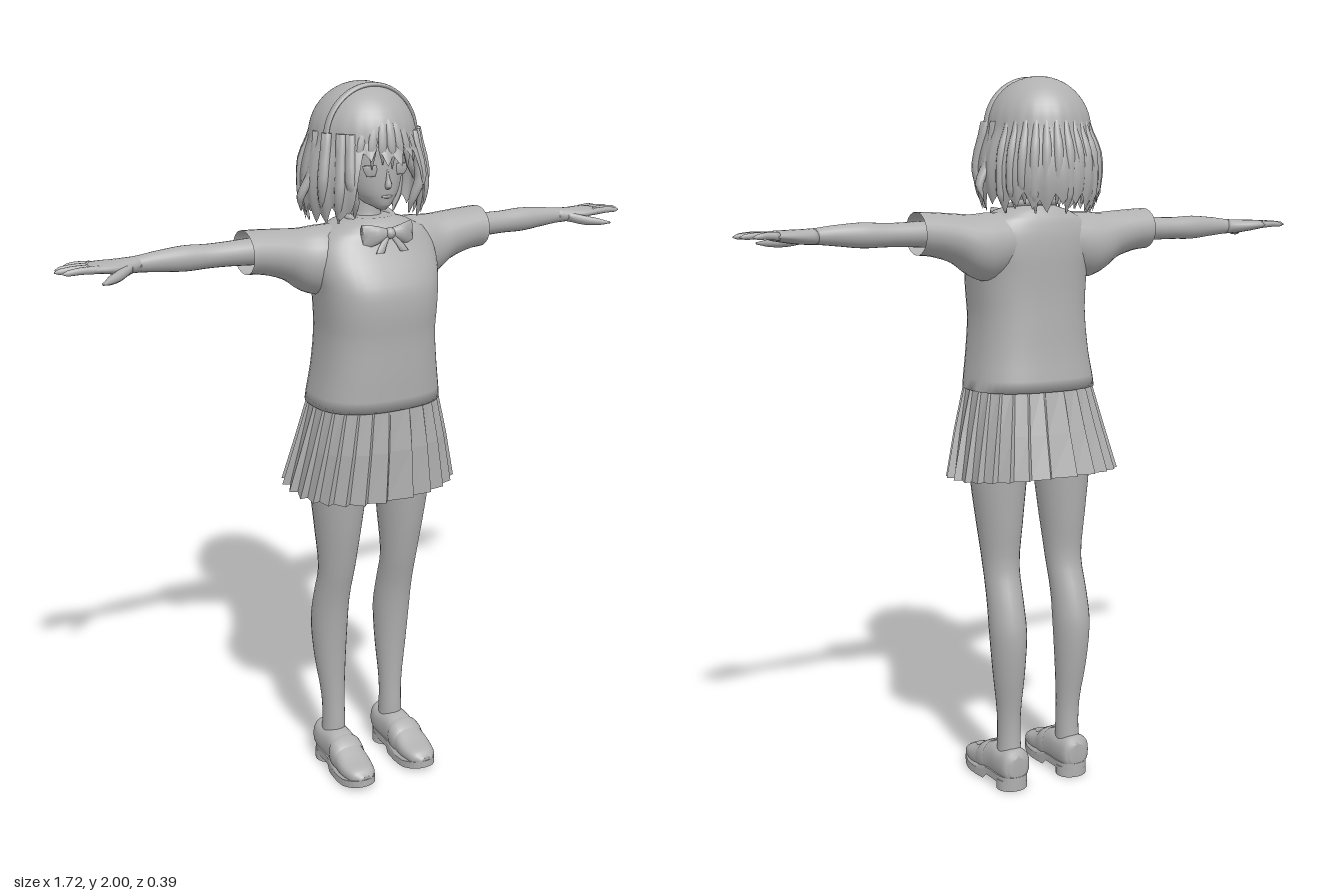
import * as THREE from 'three';

const grey = new THREE.MeshStandardMaterial({ color: 0xb0b0b0, side: THREE.DoubleSide });
grey.name = 'plain grey';

const add = (parent, name, geo) => {
  const m = new THREE.Mesh(geo, grey);
  m.name = name;
  parent.add(m);
  return m;
};

// Index a grid of rings; wraps around each ring
function gridGeometry(pos, rows, n) {
  const idx = [];
  for (let i = 0; i < rows - 1; i++)
    for (let j = 0; j < n; j++) {
      const a = i * n + j, b = i * n + (j + 1) % n;
      idx.push(a, a + n, b, b, a + n, b + n);
    }
  const g = new THREE.BufferGeometry();
  g.setAttribute('position', new THREE.Float32BufferAttribute(pos, 3));
  g.setIndex(idx);
  return g;
}

// Skin over superellipse rings [t, centreA, radiusA, centreB, radiusB] set along an axis.
// y: A is x, B is z.  x: A is y, B is z.  z: A is y, B is x.
function loft(axis, rings, { n = 24, e = 2, open = false, steps = 3 } = {}) {
  const curves = [1, 2, 3, 4].map(k => rings.map(r => r[k]));
  const ts = rings.map(r => r[0]);
  const rows = (rings.length - 1) * steps + 1;
  const cr = (v, i, f) => {
    const p0 = v[Math.max(i - 1, 0)], p1 = v[i], p2 = v[Math.min(i + 1, v.length - 1)], p3 = v[Math.min(i + 2, v.length - 1)];
    return p1 + 0.5 * f * (p2 - p0 + f * (2 * p0 - 5 * p1 + 4 * p2 - p3 + f * (3 * (p1 - p2) + p3 - p0)));
  };
  const pos = [];
  const put = (t, a, b) => axis === 'y' ? pos.push(a, t, b) : axis === 'x' ? pos.push(t, a, b) : pos.push(b, a, t);
  const pw = v => Math.sign(v) * Math.abs(v) ** (2 / e);
  for (let r = 0; r < rows; r++) {
    const i = Math.min(Math.floor(r / steps), rings.length - 2), f = r / steps - i;
    const [a, ra, b, rb] = curves.map(c => cr(c, i, f));
    const t = ts[i] + (ts[i + 1] - ts[i]) * f;
    for (let j = 0; j < n; j++) {
      const th = j / n * Math.PI * 2, c = pw(Math.cos(th)), s = pw(Math.sin(th));
      if (axis === 'x') put(t, a + ra * s, b + rb * c);
      else put(t, a + ra * c, b + rb * s);
    }
  }
  const g = gridGeometry(pos, rows, n);
  if (!open) {
    const idx = [...g.index.array], last = (rows - 1) * n;
    for (let j = 1; j < n - 1; j++) idx.push(0, j, j + 1, last, last + j + 1, last + j);
    g.setIndex(idx);
  }
  g.computeVertexNormals();
  return g;
}

// Rings given as [y, halfWidth, front z, back z]
const body = rows => rows.map(([y, rx, f, b]) => [y, 0, rx, (f + b) / 2, (f - b) / 2]);

// Hair shell: dome above, flared bob below, short fringe at the face
function hairGeometry() {
  const n = 192, rows = 26, pos = [];
  for (let i = 0; i < rows; i++) {
    const s = i / (rows - 1);
    for (let j = 0; j < n; j++) {
      const th = (j / n) * Math.PI * 2 - Math.PI, a = Math.abs(th);
      const tooth = Math.abs(((j / 8) % 1) * 2 - 1);
      const side = THREE.MathUtils.smoothstep(a, 0.5, 0.8);
      const hem = THREE.MathUtils.lerp(1.805, 1.65, side) + 0.035 * tooth + 0.012 * Math.sin(j * 0.31);
      let y, k;
      if (s < 0.5) {
        const q = s * Math.PI;
        y = 1.86 + 0.14 * Math.cos(q);
        k = Math.sin(q);
      } else {
        y = 1.86 + (hem - 1.86) * (s - 0.5) * 2;
        k = 1 + 0.19 * Math.sin(Math.min((1.86 - y) / 0.2, 1.1) * 2.67);
      }
      k *= 1 + 0.05 * (0.5 - tooth) * Math.max(0, s - 0.3);
      const c = Math.cos(th);
      pos.push(0.14 * k * Math.sin(th), y, -0.02 + (c > 0 ? 0.152 : 0.146) * k * c);
    }
  }
  const g = gridGeometry(pos, rows, n);
  g.computeVertexNormals();
  return g;
}

// Knife-pleated skirt with a rounded-box outline
function skirtGeometry() {
  const pleats = 26, n = pleats * 2, pos = [];
  const pw = v => Math.sign(v) * Math.abs(v) ** 0.83;
  const rings = [[0.91, 0.25, 0.015, 0.178], [1.04, 0.216, 0.03, 0.162], [1.18, 0.178, 0.042, 0.14]];
  rings.forEach(([y, rx, zc, rz], r) => {
    for (let j = 0; j < n; j++) {
      const inner = j % 2, th = ((j >> 1) + inner * 0.88) / pleats * Math.PI * 2;
      const k = inner ? 1 - [0.085, 0.06, 0.02][r] : 1;
      const s = Math.sin(th);
      pos.push(rx * k * pw(Math.cos(th)), y - (r === 0 ? 0.013 * s : 0), zc + rz * k * pw(s));
    }
  });
  const g = gridGeometry(pos, 3, n).toNonIndexed();
  g.computeVertexNormals();
  return g;
}

// One arm, leg and shoe for the +x side
function buildSide(root, label, sign) {
  const g = new THREE.Group();
  g.name = label + 'Limbs';
  g.scale.x = sign;
  root.add(g);

  add(g, 'sleeve', loft('x', [[0.08, 1.56, 0.08, 0.005, 0.08], [0.15, 1.548, 0.092, 0.005, 0.085], [0.2, 1.553, 0.083, 0, 0.078],
    [0.25, 1.572, 0.067, 0, 0.07], [0.31, 1.584, 0.059, 0, 0.066], [0.36, 1.588, 0.057, 0, 0.065]], { open: true }));
  add(g, 'arm', loft('x', [[0.2, 1.585, 0.042, -0.005, 0.042], [0.36, 1.587, 0.034, -0.01, 0.036], [0.45, 1.587, 0.031, -0.014, 0.031],
    [0.52, 1.588, 0.033, -0.014, 0.031], [0.6, 1.589, 0.026, -0.012, 0.025], [0.66, 1.588, 0.02, -0.011, 0.022]]));
  add(g, 'palm', loft('x', [[0.64, 1.588, 0.021, -0.011, 0.022], [0.69, 1.588, 0.019, -0.011, 0.034], [0.73, 1.59, 0.016, -0.013, 0.043],
    [0.765, 1.592, 0.012, -0.015, 0.043], [0.78, 1.592, 0.006, -0.015, 0.038]], { n: 20 }));
  [[-0.047, -0.056, 0.825], [-0.026, -0.032, 0.85], [-0.004, -0.008, 0.86], [0.017, 0.019, 0.848]].forEach(([z0, z1, x], i) =>
    add(g, 'finger' + (i + 1), loft('x', [[0.755, 1.592, 0.01, z0, 0.0105], [(0.755 + x) / 2, 1.594, 0.009, (z0 + z1) / 2, 0.009],
      [x - 0.012, 1.592, 0.007, z1, 0.007], [x, 1.591, 0.002, z1, 0.002]], { n: 10 })));
  add(g, 'thumb', loft('x', [[0.67, 1.584, 0.014, 0.005, 0.018], [0.71, 1.575, 0.014, 0.032, 0.018], [0.745, 1.571, 0.01, 0.057, 0.014],
    [0.77, 1.57, 0.003, 0.079, 0.004]], { n: 10 }));

  add(g, 'leg', loft('y', [[0.06, 0.1, 0.036, -0.025, 0.042], [0.13, 0.098, 0.033, -0.02, 0.038], [0.22, 0.099, 0.034, -0.022, 0.037],
    [0.34, 0.103, 0.045, -0.03, 0.049], [0.46, 0.105, 0.052, -0.03, 0.06], [0.55, 0.105, 0.051, -0.014, 0.058],
    [0.65, 0.103, 0.052, 0.014, 0.056], [0.77, 0.103, 0.064, 0.022, 0.073], [0.9, 0.103, 0.078, 0.027, 0.088], [1.05, 0.1, 0.085, 0.03, 0.1]]));

  // Shoe: upper, footprint sole, heel block, strap
  add(g, 'shoeUpper', loft('z', [[-0.08, 0.07, 0.03, 0.1, 0.025], [-0.068, 0.073, 0.048, 0.1, 0.042], [-0.03, 0.07, 0.048, 0.1, 0.046],
    [0.02, 0.068, 0.052, 0.1, 0.045], [0.07, 0.058, 0.044, 0.102, 0.048], [0.12, 0.048, 0.03, 0.103, 0.05],
    [0.165, 0.043, 0.022, 0.103, 0.04], [0.187, 0.04, 0.01, 0.103, 0.02]], { e: 2.5 }));
  const foot = new THREE.Shape();
  foot.moveTo(0.1, 0.082);
  foot.bezierCurveTo(0.16, 0.08, 0.14, 0.02, 0.147, -0.03);
  foot.bezierCurveTo(0.16, -0.09, 0.165, -0.19, 0.103, -0.19);
  foot.bezierCurveTo(0.04, -0.19, 0.045, -0.09, 0.055, -0.03);
  foot.bezierCurveTo(0.06, 0.02, 0.04, 0.08, 0.1, 0.082);
  const sole = new THREE.ExtrudeGeometry(foot, { depth: 0.022, bevelEnabled: false, curveSegments: 12 });
  sole.rotateX(-Math.PI / 2);
  const p = sole.attributes.position;
  for (let i = 0; i < p.count; i++) {
    const z = p.getZ(i);
    p.setY(i, p.getY(i) + (z < 0.03 ? 0.02 : 0.004 + 0.25 * Math.max(0, z - 0.13)));
  }
  sole.computeVertexNormals();
  add(g, 'shoeSole', sole);
  const heel = new THREE.CylinderGeometry(0.046, 0.046, 0.03, 24);
  heel.scale(1, 1, 0.88);
  add(g, 'shoeHeel', heel).position.set(0.1, 0.015, -0.04);
  add(g, 'shoeStrap', loft('z', [[0.045, 0.066, 0.048, 0.101, 0.049], [0.055, 0.065, 0.049, 0.101, 0.052], [0.075, 0.06, 0.045, 0.102, 0.052],
    [0.085, 0.057, 0.039, 0.102, 0.05]], { e: 2.5, open: true, steps: 1 }));

  // Bow half, its tail, and the loose locks framing the face
  add(g, 'bowLoop', loft('x', [[0.004, 1.625, 0.012, 0.124, 0.012], [0.04, 1.622, 0.025, 0.126, 0.014], [0.075, 1.618, 0.033, 0.112, 0.008]], { n: 16 }));
  add(g, 'bowTail', loft('y', [[1.578, 0.036, 0.013, 0.142, 0.004], [1.625, 0.006, 0.008, 0.128, 0.006]], { n: 10 }));
  [[0.088, 0.1, 0.105, 1.665], [0.125, 0.08, 0.125, 1.65], [0.15, 0.04, 0.152, 1.67], [0.182, -0.02, 0.15, 1.675]].forEach(([x, z, mx, y], i) =>
    add(g, 'sideLock' + (i + 1), loft('y', [[y, x - 0.006, 0.002, z - 0.012, 0.002], [y + 0.04, x, 0.011, z, 0.013],
      [y + 0.1, mx, 0.015, z + 0.008, 0.017], [1.88, mx * 0.88, 0.012, z * 0.85, 0.016]], { n: 10 })));
  add(g, 'eye', loft('y', [[1.772, 0.043, 0.014, 0.106, 0.004], [1.786, 0.044, 0.021, 0.106, 0.006], [1.8, 0.046, 0.023, 0.105, 0.007]], { n: 14 }));
}

export function createModel() {
  const root = new THREE.Group();
  root.name = 'schoolGirl';

  // Clothing
  add(root, 'sweater', loft('y', body([[1.155, 0.185, 0.185, -0.112], [1.25, 0.171, 0.188, -0.1], [1.35, 0.162, 0.189, -0.093],
    [1.42, 0.165, 0.194, -0.09], [1.48, 0.17, 0.189, -0.09], [1.53, 0.178, 0.166, -0.09], [1.58, 0.175, 0.136, -0.086],
    [1.62, 0.15, 0.116, -0.076], [1.645, 0.1, 0.1, -0.062], [1.658, 0.06, 0.082, -0.048]]), { n: 40, e: 2.5 }));
  add(root, 'skirt', skirtGeometry());
  add(root, 'hips', loft('y', body([[0.93, 0.1, 0.08, -0.05], [0.97, 0.165, 0.12, -0.08], [1.17, 0.16, 0.16, -0.09]])));
  const collar = new THREE.TorusGeometry(0.062, 0.011, 10, 32);
  collar.rotateX(Math.PI / 2 + 0.25);
  add(root, 'collar', collar).position.set(0, 1.655, 0.02);
  add(root, 'bowKnot', new THREE.SphereGeometry(0.015, 16, 12)).position.set(0, 1.625, 0.128);

  // Neck, head and face
  add(root, 'neck', loft('y', body([[1.62, 0.05, 0.055, -0.05], [1.67, 0.04, 0.042, -0.045], [1.75, 0.042, 0.045, -0.05]])));
  add(root, 'head', loft('y', body([[1.682, 0.012, 0.1, 0.07], [1.695, 0.034, 0.11, 0.02], [1.725, 0.065, 0.116, -0.05], [1.765, 0.085, 0.117, -0.1],
    [1.82, 0.097, 0.115, -0.13], [1.88, 0.1, 0.105, -0.13], [1.94, 0.07, 0.06, -0.1]]), { n: 32 }));
  add(root, 'nose', loft('y', [[1.738, 0, 0.006, 0.116, 0.006], [1.746, 0, 0.009, 0.12, 0.011], [1.765, 0, 0.005, 0.117, 0.007], [1.79, 0, 0.003, 0.113, 0.004]], { n: 12 }));
  add(root, 'mouth', loft('y', [[1.713, 0, 0.01, 0.11, 0.004], [1.718, 0, 0.017, 0.112, 0.005], [1.722, 0, 0.012, 0.112, 0.004]], { n: 12 }));

  // Hair
  add(root, 'hair', hairGeometry());
  for (let i = -3; i <= 3; i++) {
    const x = i * 0.023, d = -0.003 * i * i;
    add(root, 'fringeLock', loft('y', [[1.79 + 0.012 * (i & 1), x * 1.15 + 0.006, 0.001, 0.128 + d, 0.002], [1.84, x * 1.1, 0.012, 0.136 + d, 0.007],
      [1.9, x * 0.8, 0.012, 0.122 + d, 0.008], [1.95, x * 0.4, 0.006, 0.09 + d, 0.006]], { n: 10 }));
  }
  for (let i = 0; i < 13; i++) {
    const th = Math.PI * (0.62 + 0.76 * i / 12), s = Math.sin(th), c = Math.cos(th), y = 1.64 + 0.012 * (i % 3);
    add(root, 'backLock', loft('y', [[y, s * 0.14, 0.002, -0.02 + c * 0.145, 0.002], [y + 0.05, s * 0.158, 0.014, -0.02 + c * 0.158, 0.012],
      [1.8, s * 0.157, 0.014, -0.02 + c * 0.162, 0.011], [1.88, s * 0.13, 0.008, -0.02 + c * 0.137, 0.008]], { n: 10 }));
  }
  const band = new THREE.TorusGeometry(0.134, 0.006, 10, 48, Math.PI);
  band.scale(1, 1, 2);
  add(root, 'headband', band).position.set(0, 1.86, 0.03);

  buildSide(root, 'left', 1);
  buildSide(root, 'right', -1);
  return root;
}
